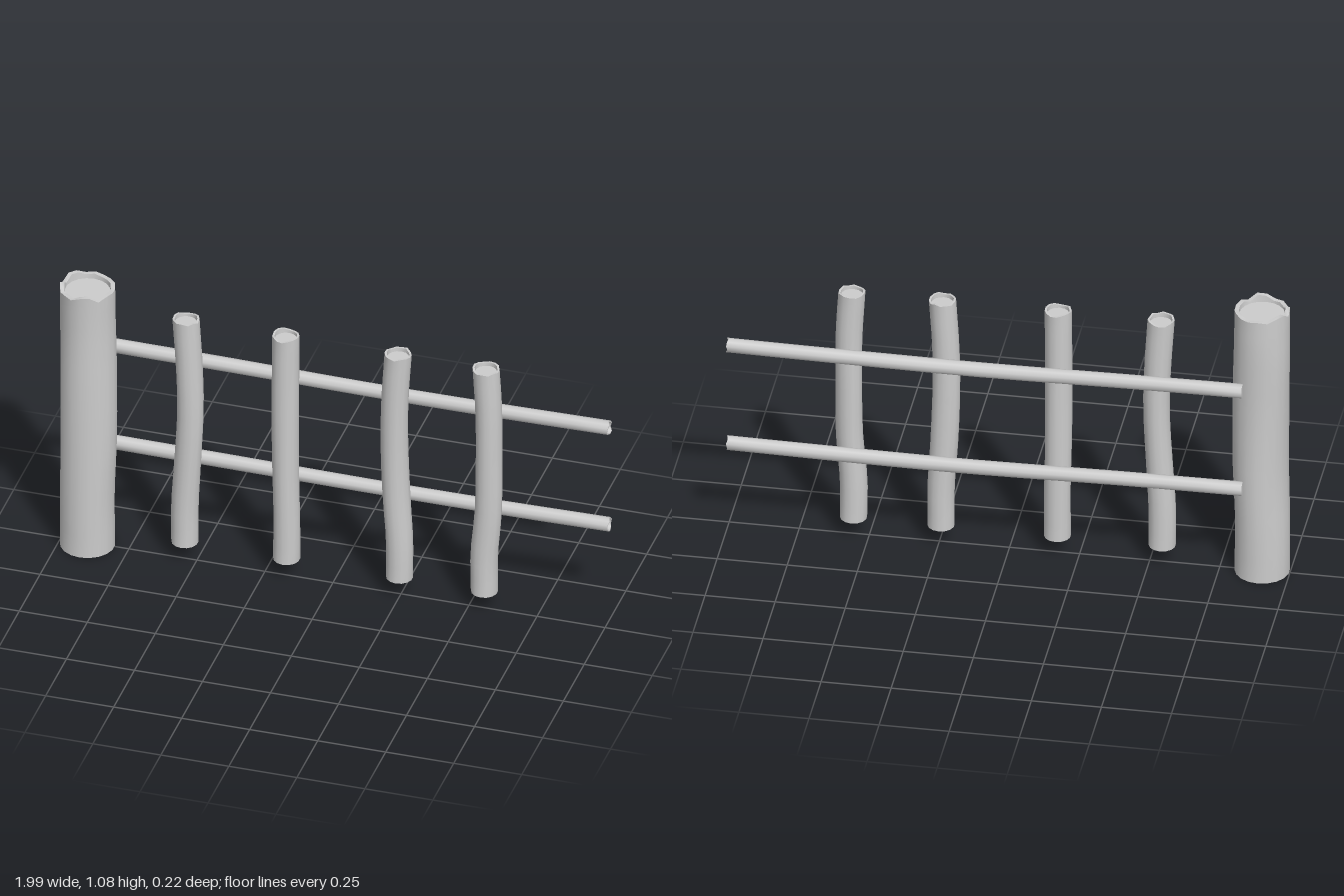
import * as THREE from 'three';
import { mergeGeometries } from 'three/addons/utils/BufferGeometryUtils.js';

const V = (x, y, z) => new THREE.Vector3(x, y, z);

function seeded(seed) {
  let s = seed * 7919 + 17;
  return () => (s = (s * 16807) % 2147483647) / 2147483647;
}

// Surface through closed rings of points, smooth within itself
function loft(rings) {
  const n = rings[0].length, index = [];
  for (let i = 0; i < rings.length - 1; i++) {
    for (let j = 0; j < n; j++) {
      const a = i * n + j, b = i * n + (j + 1) % n;
      index.push(a, b, b + n, a, b + n, a + n);
    }
  }
  const g = new THREE.BufferGeometry().setFromPoints(rings.flat());
  g.setIndex(index);
  g.computeVertexNormals();
  return g;
}

// Rough log along a path: uneven bark, flat start, ragged bark rim around a sunken wood face at the end
function log(name, path, { r, sides, seed, wobble = 0.05, ragged, sunk, u, v, steps = 12 }) {
  const rand = seeded(seed);
  const curve = new THREE.CatmullRomCurve3(path);
  const axis = u.clone().cross(v);
  const p1 = rand() * 6.28, p2 = rand() * 6.28;

  const ring = (t, scale, offset = () => 0) => {
    const c = curve.getPoint(t);
    const rough = wobble * Math.sin(Math.PI * Math.min(1, t * 1.1));
    return Array.from({ length: sides }, (_, j) => {
      const a = (j / sides) * Math.PI * 2;
      const k = r * scale * (1 + rough * (0.6 * Math.sin(2 * a + p1 + 5 * t) + 0.5 * Math.sin(3 * a + p2 - 7 * t)));
      return c.clone()
        .addScaledVector(u, Math.cos(a) * k)
        .addScaledVector(v, Math.sin(a) * k)
        .addScaledVector(axis, offset(j));
    });
  };

  const chips = Array.from({ length: sides }, () => (rand() - 0.6) * ragged);
  const chip = j => chips[j];
  const bark = [];
  for (let i = 0; i < steps; i++) bark.push(ring(i / steps, 1));
  bark.push(ring(1, 1, chip));
  const rimInner = ring(1, 0.84, chip);
  const face = ring(1, 0.82, () => -sunk);

  const geometry = mergeGeometries([
    loft([ring(0, 0), ring(0, 1)]),
    loft(bark),
    loft([bark[steps], rimInner]),
    loft([rimInner, face]),
    loft([face, ring(1, 0, () => -sunk)]),
  ]);
  const mesh = new THREE.Mesh(geometry, new THREE.MeshStandardMaterial({ color: 0xcccccc }));
  mesh.name = name;
  return mesh;
}

export function createModel() {
  const group = new THREE.Group();
  group.name = 'logFence';
  const upright = { u: V(0, 0, 1), v: V(1, 0, 0) };
  const level = { u: V(0, 1, 0), v: V(0, 0, 1) };

  // Thick end post
  group.add(log('post',
    [V(-0.9, 0, 0.007), V(-0.9, 0.2, 0.007), V(-0.894, 0.42, 0.008), V(-0.897, 0.7, 0.008),
      V(-0.9, 0.92, 0.003), V(-0.9, 1.075, 0.007)],
    { ...upright, r: 0.098, sides: 18, seed: 3, wobble: 0.045, ragged: 0.022, sunk: 0.02 }));

  // Hanging pickets: x position at each height
  const heights = [0.07, 0.22, 0.4, 0.62, 0.82, 1.0];
  const pickets = [
    [-0.545, -0.545, -0.534, -0.524, -0.53, -0.541],
    [-0.171, -0.171, -0.174, -0.175, -0.175, -0.174],
    [0.244, 0.244, 0.232, 0.225, 0.228, 0.239],
    [0.556, 0.556, 0.57, 0.572, 0.572, 0.562],
  ];
  pickets.forEach((xs, i) => group.add(log('picket' + (i + 1),
    xs.map((x, k) => V(x, heights[k], -0.002)),
    { ...upright, r: 0.048, sides: 14, seed: 11 + i * 5, ragged: 0.01, sunk: 0.015 })));

  // Two thin rails behind the pickets
  [['lowerRail', 0.378], ['upperRail', 0.781]].forEach(([name, y], i) => group.add(log(name,
    [V(-0.845, y + 0.003, -0.083), V(-0.4, y, -0.083), V(0.1, y - 0.006, -0.084),
      V(0.6, y - 0.004, -0.083), V(0.993, y + 0.001, -0.083)],
    { ...level, r: 0.026, sides: 10, seed: 40 + i, ragged: 0.01, sunk: 0.012 })));

  return group;
}
